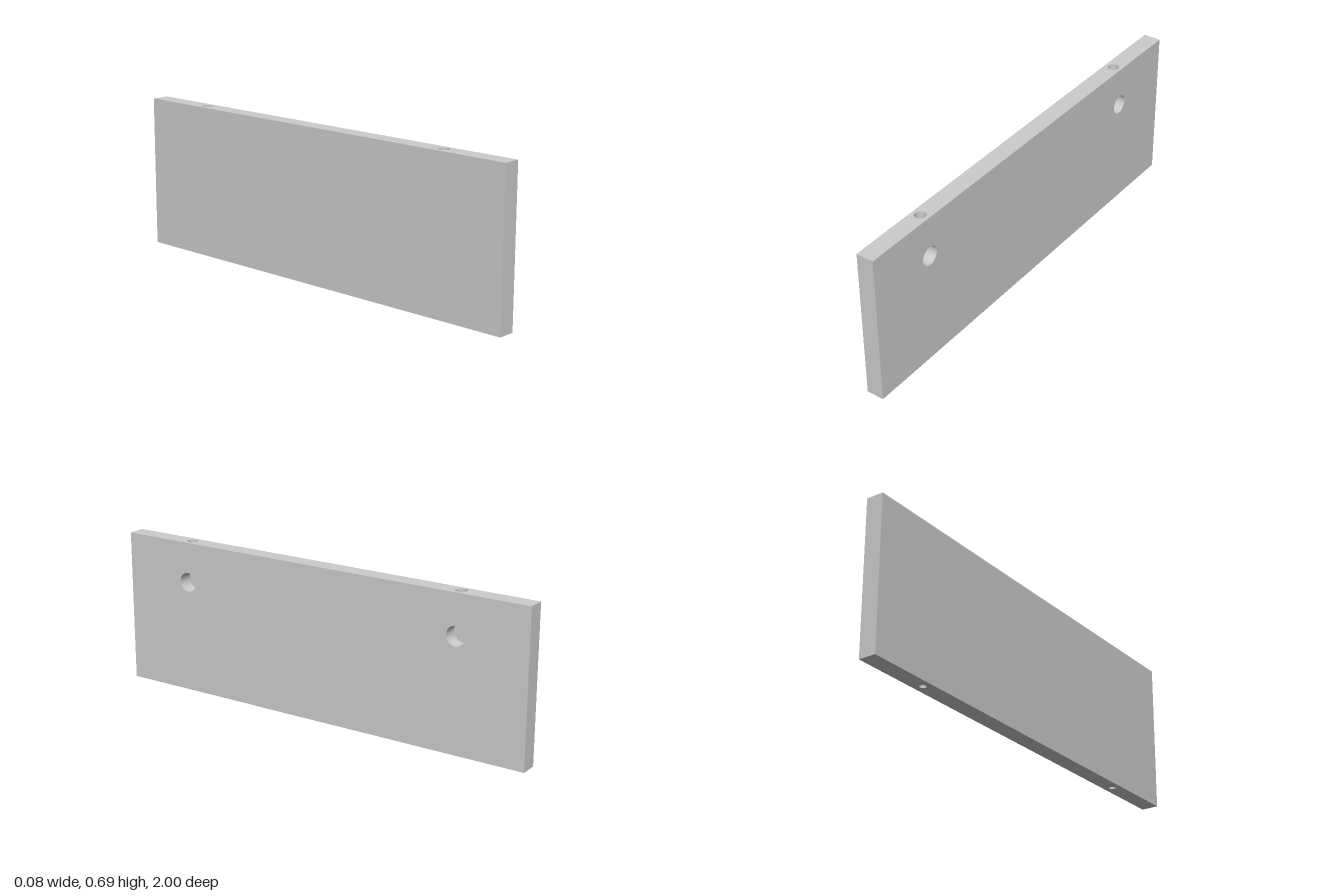
import * as THREE from 'three';
import { ParametricGeometry } from 'three/addons/geometries/ParametricGeometry.js';

const T = 0.078, H = 0.685, L = 2;          // thickness, height, length
const HOLE_Z = 0.675, POCKET_Y = 0.505;     // fixing positions
const POCKET_R = 0.043, POCKET_FLOOR = -0.025;
const BORE_R = 0.024, PILOT_R = 0.0145, PILOT_DEPTH = 0.12;

const material = new THREE.MeshStandardMaterial({ color: 0xcccccc });
const inside = new THREE.MeshStandardMaterial({ color: 0xcccccc, side: THREE.DoubleSide });

// Flat rectangle facing +z, pierced by round holes
function face(w, h, r = 0, centres = []) {
  const s = new THREE.Shape();
  s.moveTo(-w / 2, -h / 2).lineTo(w / 2, -h / 2).lineTo(w / 2, h / 2).lineTo(-w / 2, h / 2).closePath();
  for (const [x, y] of centres) s.holes.push(new THREE.Path().absarc(x, y, r, 0, Math.PI * 2, true));
  return new THREE.ShapeGeometry(s, 24);
}

export function createModel() {
  const model = new THREE.Group();
  model.name = 'drilledPanel';
  const add = (name, geometry, mat = material, parent = model) => {
    const m = new THREE.Mesh(geometry, mat);
    m.name = name;
    parent.add(m);
    return m;
  };

  // Panel faces
  const q = Math.PI / 2;
  const ends = [[0, HOLE_Z], [0, -HOLE_Z]];
  const pockets = [-1, 1].map((s) => [s * HOLE_Z, POCKET_Y - H / 2]);
  add('pocketFace', face(L, H, POCKET_R, pockets).rotateY(q).translate(T / 2, H / 2, 0));
  add('plainFace', face(L, H).rotateY(-q).translate(-T / 2, H / 2, 0));
  add('frontEnd', face(T, H).translate(0, H / 2, L / 2));
  add('backEnd', face(T, H).rotateY(Math.PI).translate(0, H / 2, -L / 2));
  add('topEdge', face(T, L, BORE_R, ends).rotateX(-q).translate(0, H, 0));
  add('bottomEdge', face(T, L, PILOT_R, ends).rotateX(q));

  // Pocket wall, split into two rings that leave the bore opening free
  const pocketRing = (outer) => new ParametricGeometry((u, v, p) => {
    const a = u * Math.PI * 2, z = POCKET_R * Math.sin(a), y = POCKET_R * Math.cos(a);
    const gap = y > 0 ? Math.sqrt(Math.max(0, BORE_R ** 2 - z * z)) : 0;
    const from = outer ? gap : POCKET_FLOOR, to = outer ? T / 2 : -gap;
    p.set(THREE.MathUtils.lerp(from, to, v), POCKET_Y + y, z);
  }, 96, 1);

  // Bore from the top edge, ending on the curved pocket wall
  const bore = new ParametricGeometry((u, v, p) => {
    const a = u * Math.PI * 2, z = BORE_R * Math.sin(a);
    const end = POCKET_Y + Math.sqrt(POCKET_R ** 2 - z * z);
    p.set(BORE_R * Math.cos(a), THREE.MathUtils.lerp(end, H, v), z);
  }, 48, 1);

  for (const side of [1, -1]) {
    const fixing = new THREE.Group();
    fixing.name = side > 0 ? 'frontFixing' : 'backFixing';
    fixing.position.z = side * HOLE_Z;
    model.add(fixing);
    add('pocketOuterWall', pocketRing(true), inside, fixing);
    add('pocketInnerWall', pocketRing(false), inside, fixing);
    add('pocketFloor', new THREE.CircleGeometry(POCKET_R, 48).rotateY(q).translate(POCKET_FLOOR, POCKET_Y, 0), inside, fixing);
    add('topBore', bore, inside, fixing);
    // Blind pilot hole in the bottom edge
    add('pilotWall', new THREE.CylinderGeometry(PILOT_R, PILOT_R, PILOT_DEPTH, 32, 1, true)
      .translate(0, PILOT_DEPTH / 2, 0), inside, fixing);
    add('pilotEnd', new THREE.CircleGeometry(PILOT_R, 32).rotateX(q).translate(0, PILOT_DEPTH, 0), inside, fixing);
  }
  return model;
}
